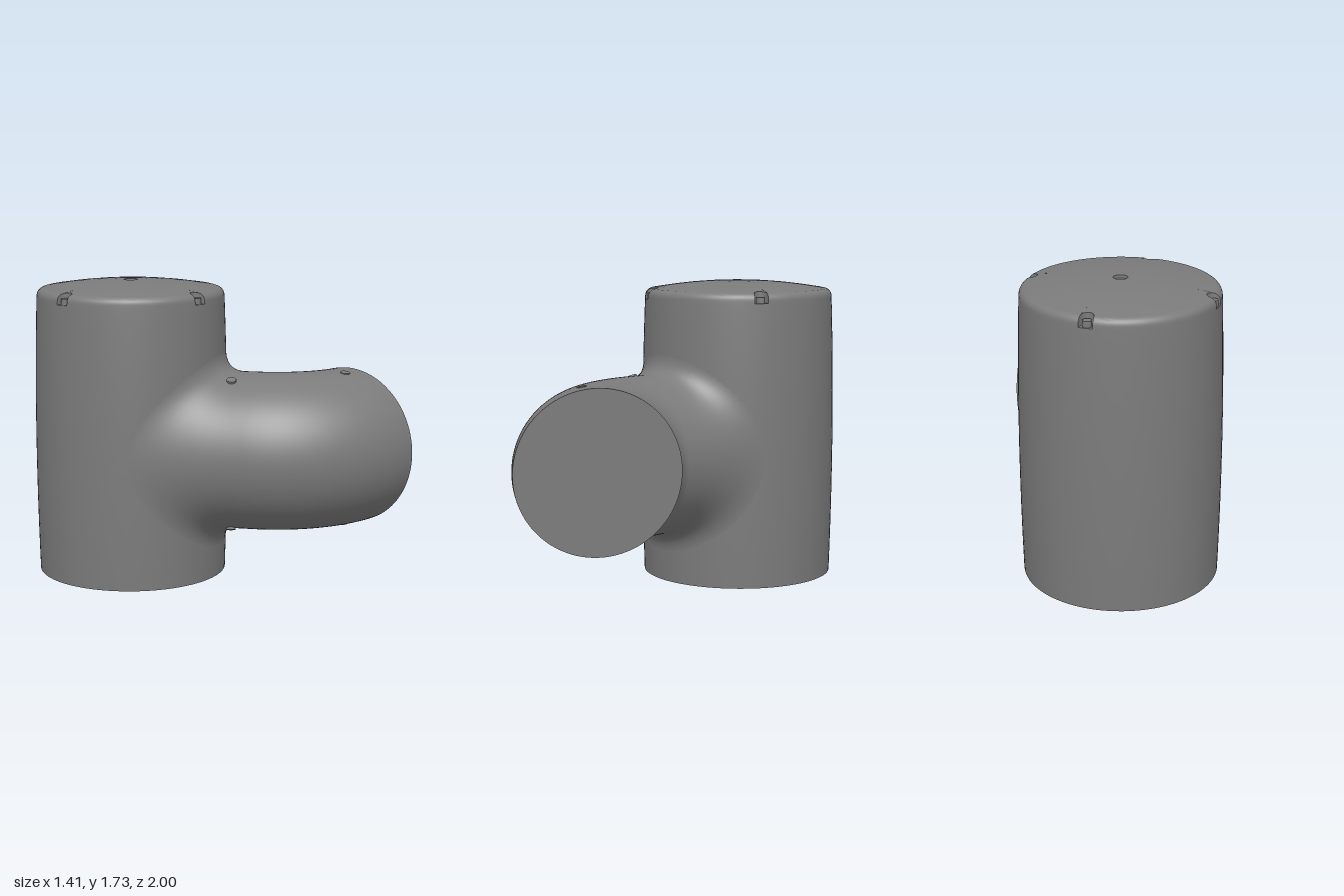
import * as THREE from 'three';
import { toCreasedNormals } from 'three/addons/utils/BufferGeometryUtils.js';

const material = new THREE.MeshStandardMaterial({ color: 0x7b7b7b });
const CX = -0.139, CZ = -0.433;           // body axis
const BX = 0.705, BZ = -0.04;             // centre of the elbow bend
const BEND = 0.58, TUBE = 0.46, AXIS_Y = 0.75;
const NOTCH_R = 0.52, NOTCH_W = 0.037, NOTCH_Y = 1.625;

// Skin a grid of points: rows along the form, columns around it
function skin(rows, crease) {
  const cols = rows[0].length, index = [];
  for (let i = 0; i < rows.length - 1; i++)
    for (let j = 0; j < cols - 1; j++) {
      const a = i * cols + j, b = a + cols;
      index.push(a, a + 1, b, a + 1, b + 1, b);
    }
  const g = new THREE.BufferGeometry().setFromPoints(rows.flat());
  g.setIndex(index);
  return toCreasedNormals(g, crease);
}

function add(group, name, geometry) {
  const mesh = new THREE.Mesh(geometry, material);
  mesh.name = name;
  group.add(mesh);
  return mesh;
}

// Slightly barrelled wall of the upright body
const bodyRadius = (y) => y < AXIS_Y
  ? 0.567 - 0.011 * ((AXIS_Y - y) / 0.75) ** 2
  : 0.567 - 0.018 * ((y - AXIS_Y) / 0.9) ** 2;
const domeY = (r) => 1.73 - 0.045 * (r / 0.506) ** 2;

// Body with rounded rim, domed top, centre recess and four rounded rim notches
function bodyGeometry() {
  // Each point: radius, height, and how a notch treats it (floor, wall top or neither)
  const profile = [[0, 0]];
  for (let i = 0; i <= 24; i++) {
    const y = NOTCH_Y * i / 24;
    profile.push([bodyRadius(y), y]);
  }
  for (let i = 0; i <= 8; i++) {
    const a = i / 8 * Math.PI / 2;
    profile.push([0.506 + 0.043 * Math.cos(a), 1.64 + 0.045 * Math.sin(a), 'floor']);
  }
  profile.push([0.484, domeY(0.484), 'floor'], [0.481, domeY(0.481), 'wallTop']);
  for (const r of [0.4, 0.3, 0.2, 0.12, 0.04]) profile.push([r, domeY(r)]);
  profile.push([0.039, 1.712], [0, 1.712]);

  // Angles around the body, with the inner edge of the notch where there is one
  const angles = [], half = NOTCH_W / NOTCH_R;
  for (let k = 0; k < 4; k++) {
    const c = k * Math.PI / 2;
    for (let i = 0; i <= 12; i++) {
      const s = -Math.cos(i / 12 * Math.PI);
      angles.push([c + half * s, NOTCH_R - NOTCH_W * Math.sqrt(1 - s * s)]);
    }
    for (let i = 0; i <= 20; i++)
      angles.push([c + half + 0.0005 + (Math.PI / 2 - 2 * half - 0.001) * i / 20, 0]);
  }
  angles.push([angles[0][0] + Math.PI * 2, angles[0][1]]);

  return skin(profile.map(([r, y, kind]) => angles.map(([a, inner]) => {
    let pr = r, py = y;
    if (inner && kind === 'floor') [pr, py] = [Math.max(r, inner + 0.0005), NOTCH_Y];
    if (inner && kind === 'wallTop') [pr, py] = [inner, domeY(inner)];
    return new THREE.Vector3(CX + pr * Math.sin(a), py, CZ + pr * Math.cos(a));
  })), 0.5);
}

// Bent branch: a 60 degree elbow, then a fillet flowing tangentially onto the body
function branchGeometry() {
  const N = 96, rows = [], end = Math.PI / 3;
  const ts = Array.from({ length: N + 1 }, (_, j) => j / N * Math.PI * 2);
  const ringPoint = (a, t) => {
    const r = BEND + TUBE * Math.cos(t);
    return new THREE.Vector3(BX - r * Math.sin(a), AXIS_Y + TUBE * Math.sin(t), BZ + r * Math.cos(a));
  };
  for (let i = 0; i <= 32; i++) rows.push(ts.map((t) => ringPoint(end * i / 32, t)));

  const d = new THREE.Vector3(-Math.cos(end), 0, -Math.sin(end));
  const fillets = ts.map((t) => {
    const p0 = ringPoint(end, t), R = bodyRadius(p0.y);
    const rel = new THREE.Vector3(p0.x - CX, 0, p0.z - CZ);
    const b = rel.dot(d);
    const hit = rel.clone().addScaledVector(d, -b - Math.sqrt(R * R - rel.lengthSq() + b * b));
    // Landing point on the body, spread away from the branch
    const phi = Math.atan2(hit.x, hit.z) - 0.16 * Math.cos(t) / R;
    const y = p0.y + 0.13 * Math.sin(t), r = bodyRadius(y) - 0.0005;
    const n = new THREE.Vector3(Math.sin(phi), 0, Math.cos(phi));
    const p2 = new THREE.Vector3(CX + r * n.x, y, CZ + r * n.z);
    // Control point where the branch line meets the body's tangent plane there
    const p1 = p0.clone().addScaledVector(d, (r - rel.dot(n)) / d.dot(n));
    return new THREE.QuadraticBezierCurve3(p0.clone().lerp(p1, 0.4 * Math.sin(t) ** 2 + 0.02), p1, p2);
  });
  for (let i = 0; i <= 20; i++) rows.push(fillets.map((c) => c.getPoint(i / 20)));
  return skin(rows, 0.8);
}

export function createModel() {
  const group = new THREE.Group();
  add(group, 'body', bodyGeometry());
  add(group, 'branch', branchGeometry());

  // Flat face closing the branch
  const face = add(group, 'branchFace', new THREE.CircleGeometry(TUBE, 96));
  face.rotation.y = Math.PI / 2;
  face.position.set(BX, AXIS_Y, BZ + BEND);

  // Screw heads sitting in the rim notches
  for (let k = 0; k < 4; k++) {
    const a = k * Math.PI / 2;
    add(group, 'rimScrew', new THREE.CylinderGeometry(0.025, 0.025, 0.04, 24))
      .position.set(CX + NOTCH_R * Math.sin(a), 1.64, CZ + NOTCH_R * Math.cos(a));
  }

  // Small plugs above and below the branch: x, z, height off the axis, tilt direction
  const up = new THREE.Vector3(0, 1, 0);
  for (const side of [1, -1])
    for (const [x, z, h, nx, nz] of [[0, 0.23, 0.436, -0.295, 0.26], [0.572, 0.607, 0.45, -0.037, 0.181]]) {
      const plug = add(group, 'branchPlug', new THREE.CylinderGeometry(0.028, 0.028, 0.014, 24));
      plug.position.set(x, AXIS_Y + side * h, z);
      plug.quaternion.setFromUnitVectors(up, new THREE.Vector3(nx, side, nz).normalize());
    }
  return group;
}
